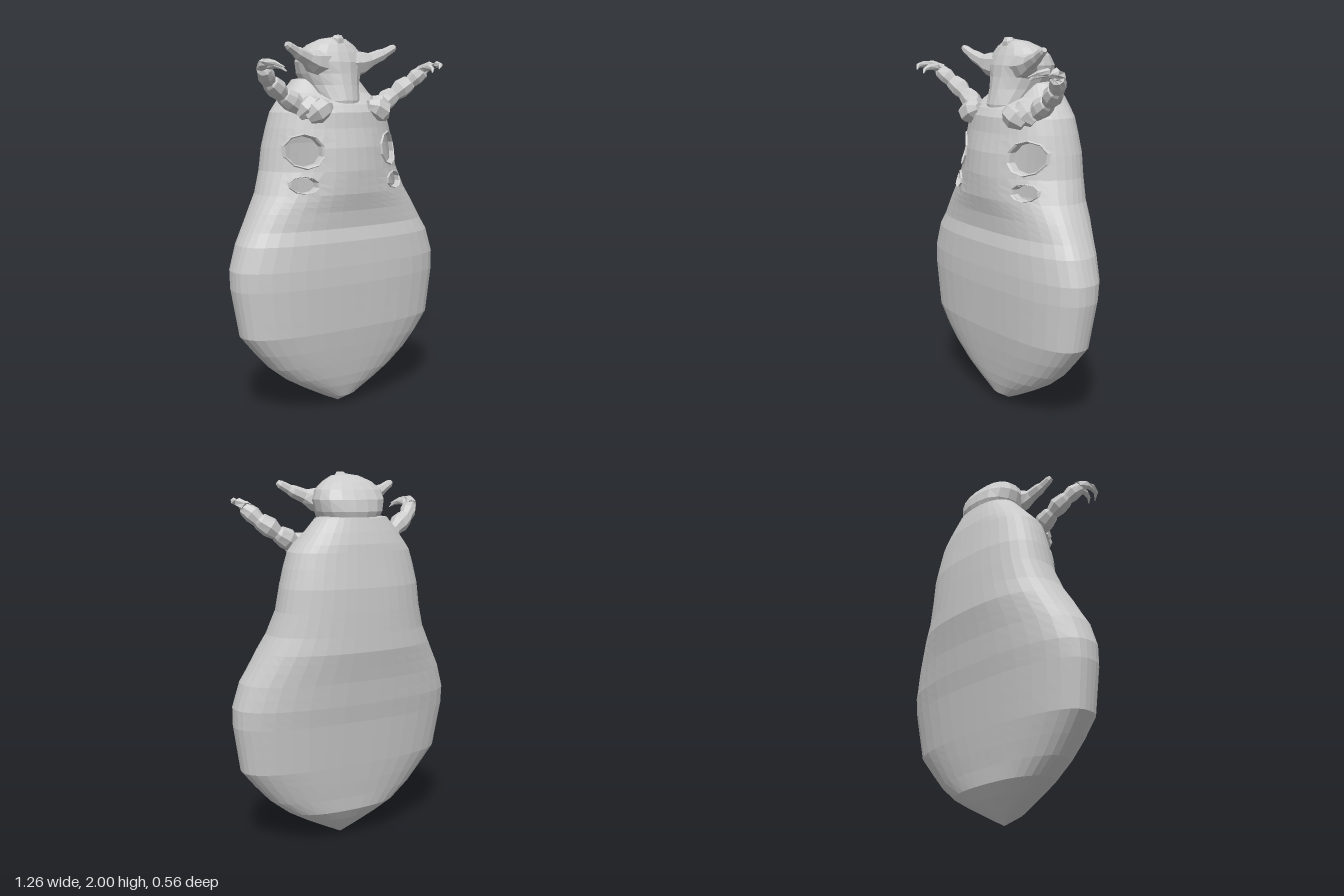
import * as THREE from 'three';

const material = new THREE.MeshStandardMaterial({ color: 0xcccccc, flatShading: true, side: THREE.DoubleSide });
const V = (x, y, z) => new THREE.Vector3(x, y, z);

// Skin a stack of closed rings; skip(center) can leave faces out.
function loft(name, rings, skip = () => false) {
  const pos = [];
  const tri = (...p) => {
    if (p[0].equals(p[1]) || p[1].equals(p[2]) || p[0].equals(p[2])) return;
    p.forEach(v => pos.push(v.x, v.y, v.z));
  };
  for (let i = 0; i < rings.length - 1; i++) {
    const n = rings[i].length;
    for (let j = 0; j < n; j++) {
      if (skip(i, j)) continue;
      const a = rings[i][j], b = rings[i][(j + 1) % n];
      const c = rings[i + 1][(j + 1) % n], d = rings[i + 1][j];
      tri(a, d, c);
      tri(a, c, b);
    }
  }
  const g = new THREE.BufferGeometry();
  g.setAttribute('position', new THREE.Float32BufferAttribute(pos, 3));
  g.computeVertexNormals();
  const mesh = new THREE.Mesh(g, material);
  mesh.name = name;
  return mesh;
}

// Cross-section table lookup: [y, halfWidth, zSide, zFront, zBack, frontPower]
function sectionAt(table, y) {
  let i = 0;
  while (i < table.length - 2 && y > table[i + 1][0]) i++;
  const a = table[i], b = table[i + 1];
  const t = THREE.MathUtils.clamp((y - a[0]) / (b[0] - a[0]), 0, 1);
  return a.map((v, k) => v + (b[k] - v) * t);
}

// Superelliptic ring, running from +x round the front to -x and the back
function sectionRing(table, y, n) {
  const [, w, zm, zf, zb, pf] = sectionAt(table, y);
  return Array.from({ length: n }, (_, j) => {
    const a = j / n * Math.PI * 2, c = Math.cos(a), s = Math.sin(a);
    const p = s > 0 ? pf : 2.4;
    const r = 1 / Math.pow(Math.abs(c) ** p + Math.abs(s) ** p, 1 / p);
    return V(w * r * c, y, zm + r * s * (s > 0 ? zf - zm : zm - zb));
  });
}

// Limb of round sections along [x, y, z, radius] points
function limb(name, pts, sides = 7) {
  const c = pts.map(p => V(p[0], p[1], p[2]));
  const rings = pts.map((p, i) => {
    const t = c[Math.min(i + 1, c.length - 1)].clone().sub(c[Math.max(i - 1, 0)]).normalize();
    const u = V(0.1, 0.3, 1).cross(t).normalize();
    const v = u.clone().cross(t);
    return Array.from({ length: sides }, (_, j) => {
      const a = j / sides * Math.PI * 2;
      return c[i].clone().addScaledVector(u, p[3] * Math.cos(a)).addScaledVector(v, p[3] * Math.sin(a));
    });
  });
  rings.unshift(rings[0].map(() => c[0].clone()));
  rings.push(rings[0].map(() => c[c.length - 1].clone()));
  return loft(name, rings);
}

const BODY = [
  [0.0, 0.0, 0.02, 0.02, 0.02, 2],
  [0.05, 0.1, 0.03, 0.1, -0.03, 2],
  [0.12, 0.23, 0.025, 0.125, -0.09, 2.3],
  [0.18, 0.33, 0.02, 0.14, -0.13, 2.5],
  [0.26, 0.43, 0.02, 0.155, -0.14, 2.6],
  [0.35, 0.51, 0.02, 0.17, -0.155, 2.7],
  [0.45, 0.59, 0.01, 0.185, -0.17, 2.7],
  [0.7, 0.63, 0.0, 0.2, -0.205, 2.6],
  [0.8, 0.63, 0.0, 0.2, -0.225, 2.6],
  [0.93, 0.59, 0.0, 0.195, -0.245, 2.5],
  [1.0, 0.55, -0.01, 0.178, -0.26, 2.5],
  [1.09, 0.5, -0.02, 0.185, -0.28, 2.4],
  [1.18, 0.45, -0.04, 0.205, -0.28, 2.1],
  [1.3, 0.41, -0.07, 0.21, -0.28, 1.9],
  [1.42, 0.39, -0.08, 0.2, -0.278, 1.9],
  [1.52, 0.365, -0.08, 0.175, -0.265, 2],
  [1.6, 0.34, -0.08, 0.165, -0.255, 2],
  [1.64, 0.31, -0.08, 0.14, -0.25, 2],
  [1.7, 0.26, -0.09, 0.04, -0.235, 2],
  [1.77, 0.2, -0.09, 0.0, -0.215, 2],
  [1.8, 0.0, -0.09, -0.09, -0.09, 2],
];

const HEAD = [
  [1.6, 0.0, 0.05, 0.05, 0.05, 2],
  [1.62, 0.09, 0.04, 0.13, -0.06, 2.2],
  [1.66, 0.11, 0.02, 0.135, -0.15, 2.2],
  [1.74, 0.15, -0.04, 0.115, -0.2, 1.8],
  [1.8, 0.18, -0.06, 0.1, -0.22, 1.8],
  [1.86, 0.195, -0.06, 0.09, -0.21, 2],
  [1.91, 0.18, -0.06, 0.07, -0.18, 2],
  [1.95, 0.135, -0.05, 0.05, -0.14, 2],
  [1.98, 0.075, -0.03, 0.03, -0.08, 2],
  [1.992, 0.0, -0.02, -0.02, -0.02, 2],
];

// Front surface depth of the body
function frontZ(x, y) {
  const [, w, zm, zf, , p] = sectionAt(BODY, y);
  return zm + (zf - zm) * Math.pow(Math.max(0, 1 - Math.abs(x / w) ** p), 1 / p);
}

// Leg sockets: centre x, y and radii
const SOCKETS = [-1, 1].flatMap(s => [[s * 0.265, 1.405, 0.083, 0.083], [s * 0.285, 1.235, 0.065, 0.042]]);
const inSocket = (x, y) => SOCKETS.find(([cx, cy, rx, ry]) => Math.hypot((x - cx) / rx, (y - cy) / ry) < 1);

function makeBody() {
  const n = 40, ys = [];
  BODY.forEach(([y], i) => {
    if (!i) return ys.push(y);
    const y0 = BODY[i - 1][0], k = Math.ceil((y - y0) / (y > 1.1 && y < 1.55 ? 0.042 : 0.09));
    for (let q = 1; q <= k; q++) ys.push(y0 + (y - y0) * q / k);
  });
  const rings = ys.map(y => sectionRing(BODY, y, n));
  // Cut the faces over each socket and pull the border onto its outline
  const cut = new Map(), kept = new Set();
  for (let i = 0; i < rings.length - 1; i++) for (let j = 0; j < n / 2; j++) {
    const q = [rings[i][j], rings[i][j + 1], rings[i + 1][j + 1], rings[i + 1][j]];
    const hole = inSocket(q.reduce((t, v) => t + v.x, 0) / 4, (q[0].y + q[2].y) / 2);
    if (hole) cut.set(i * n + j, [hole, q]);
    else q.forEach(v => kept.add(v));
  }
  for (const [[cx, cy, rx, ry], q] of cut.values()) for (const v of q) {
    if (!kept.delete(v)) continue;
    const a = Math.atan2((v.y - cy) / ry, (v.x - cx) / rx);
    v.x = cx + rx * Math.cos(a);
    v.y = cy + ry * Math.sin(a);
    v.z = frontZ(v.x, v.y);
  }
  return loft('body', rings, (i, j) => cut.has(i * n + j));
}

// Raised lip that turns into the body
function makeSocketRim([cx, cy, rx, ry]) {
  const steps = [[1.14, -0.004], [1.05, 0.01], [0.97, 0.0], [0.95, -0.035]];
  return loft('socketRim', steps.map(([k, dz]) => Array.from({ length: 10 }, (_, j) => {
    const a = (j + 0.5) / 10 * Math.PI * 2;
    const x = cx + rx * k * Math.cos(a), y = cy + ry * k * Math.sin(a);
    return V(x, y, frontZ(x, y) + dz);
  })));
}

export function createModel() {
  const model = new THREE.Group();
  model.name = 'larva';
  model.add(makeBody());
  SOCKETS.forEach(s => model.add(makeSocketRim(s)));
  model.add(loft('head', HEAD.map(r => sectionRing(HEAD, r[0], 18))));
  model.add(limb('crownNub', [[0, 1.95, 0.01, 0.04], [0, 1.985, 0.02, 0.032], [0, 2, 0.02, 0.02]], 6));

  for (const s of [-1, 1]) {
    const add = (name, pts, sides) => model.add(limb(name, pts.map(([x, y, z, r]) => [s * x, y, z, r]), sides));
    add('antenna', [[0.08, 1.85, 0.0, 0.08], [0.16, 1.86, 0.025, 0.06], [0.2, 1.875, 0.04, 0.038],
      [0.26, 1.9, 0.05, 0.033], [0.28, 1.91, 0.055, 0.026], [0.325, 1.935, 0.062, 0.022], [0.34, 1.945, 0.065, 0.014]]);
    // Two lobes at the leg root
    add('legRoot', [[0.12, 1.635, 0.12, 0.03], [0.16, 1.625, 0.13, 0.055], [0.205, 1.6, 0.13, 0.06], [0.24, 1.57, 0.11, 0.03]]);
    add('legRoot', [[0.17, 1.66, 0.08, 0.03], [0.2, 1.645, 0.09, 0.055], [0.24, 1.61, 0.09, 0.055], [0.27, 1.58, 0.07, 0.025]]);
    // Jointed leg
    add('leg', [[0.2, 1.61, 0.06, 0.04], [0.26, 1.63, 0.05, 0.045], [0.3, 1.66, 0.045, 0.056], [0.345, 1.685, 0.045, 0.046],
      [0.355, 1.69, 0.047, 0.038], [0.39, 1.72, 0.055, 0.053], [0.435, 1.75, 0.07, 0.045],
      [0.445, 1.757, 0.073, 0.037], [0.47, 1.785, 0.09, 0.045], [0.5, 1.815, 0.12, 0.036], [0.505, 1.82, 0.135, 0.015]], 8);
    // Pincer
    add('outerClaw', [[0.5, 1.82, 0.1, 0.03], [0.52, 1.845, 0.15, 0.024], [0.525, 1.85, 0.2, 0.019],
      [0.51, 1.845, 0.25, 0.012], [0.475, 1.825, 0.28, 0.003]], 6);
    add('innerClaw', [[0.485, 1.815, 0.1, 0.028], [0.485, 1.835, 0.15, 0.02], [0.478, 1.835, 0.2, 0.016],
      [0.468, 1.825, 0.235, 0.01], [0.45, 1.805, 0.255, 0.003]], 6);
  }
  return model;
}
